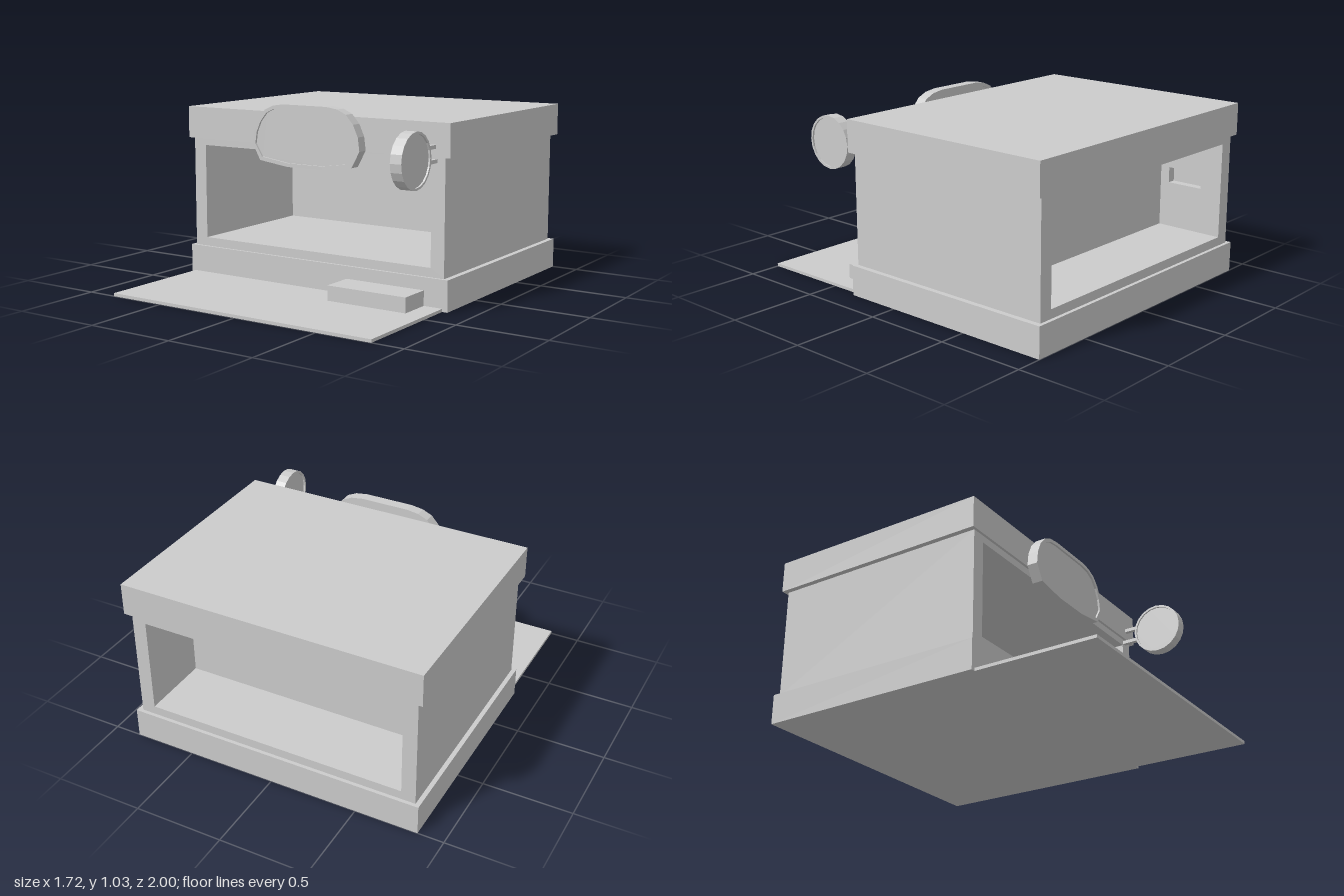
import * as THREE from 'three';

const material = new THREE.MeshStandardMaterial({ color: 0xcccccc, flatShading: true });

function add(parent, name, geometry) {
  const mesh = new THREE.Mesh(geometry, material);
  mesh.name = name;
  parent.add(mesh);
  return mesh;
}

// Box given by its limits on each axis
function box(parent, name, [x0, x1], [y0, y1], [z0, z1]) {
  const mesh = add(parent, name, new THREE.BoxGeometry(x1 - x0, y1 - y0, z1 - z0));
  mesh.position.set((x0 + x1) / 2, (y0 + y1) / 2, (z0 + z1) / 2);
  return mesh;
}

const toPoints = (list) => list.map(([x, y]) => new THREE.Vector2(x, y));
const rect = (x0, x1, y0, y1) => [[x0, y0], [x1, y0], [x1, y1], [x0, y1]];

// Extruded outline with an optional hole, from z0 to z1
function plate(outline, hole, z0, z1) {
  const shape = new THREE.Shape(toPoints(outline));
  if (hole) shape.holes.push(new THREE.Path(toPoints(hole)));
  return new THREE.ExtrudeGeometry(shape, { depth: z1 - z0, bevelEnabled: false }).translate(0, 0, z0);
}

// Completes a right-hand half outline (bottom to top) with its mirror image
const mirrored = (half) => [...half, ...half.map(([x, y]) => [-x, y]).reverse()];

function circle(radius, sides, cx, cy) {
  return Array.from({ length: sides }, (_, i) => {
    const a = (i / sides) * Math.PI * 2;
    return [cx + radius * Math.cos(a), cy + radius * Math.sin(a)];
  });
}

export function createModel() {
  const model = new THREE.Group();
  model.name = 'shop';

  // Plinth, forecourt and entrance step
  box(model, 'base', [-0.855, 0.85], [0, 0.17], [-1, 0.315]);
  box(model, 'forecourt', [-0.83, 0.82], [0, 0.017], [0.3, 1]);
  box(model, 'step', [0.23, 0.71], [0.005, 0.1], [0.3, 0.5]);

  // Walls, open at the front and the back
  add(model, 'walls', plate(
    rect(-0.83, 0.82, 0.17, 0.8), rect(-0.8, 0.74, 0.22, 0.76), -0.98, 0.3));

  // Inner lining of one side wall, with a small niche
  const lining = plate(rect(-0.98, 0.3, 0.22, 0.76), rect(-0.85, -0.635, 0.48, 0.57), 0, 0.05);
  add(model, 'wallLining', lining.rotateY(-Math.PI / 2)).position.x = -0.75;

  // Wall between the front and back rooms
  box(model, 'partition', [-0.76, 0.75], [0.21, 0.77], [-0.58, -0.55]);

  // Flat roof
  box(model, 'roof', [-0.86, 0.855], [0.8, 0.98], [-1, 0.315]);

  // Front sign: raised rim around a recessed panel
  const frontSign = new THREE.Group();
  frontSign.name = 'frontSign';
  model.add(frontSign);
  const outer = mirrored([[0.115, 0.69], [0.3, 0.715], [0.35, 0.805], [0.34, 0.88],
    [0.31, 0.945], [0.265, 0.995], [0.21, 1.02], [0.14, 1.03]]);
  const inner = mirrored([[0.11, 0.71], [0.288, 0.735], [0.332, 0.805], [0.322, 0.87],
    [0.295, 0.93], [0.255, 0.978], [0.205, 1.002], [0.14, 1.01]]);
  add(frontSign, 'frontSignRim', plate(outer, inner, 0.315, 0.377));
  add(frontSign, 'frontSignPanel', plate(inner, null, 0.327, 0.365));

  // Round sign standing out from the front, facing both sides
  const roundSign = new THREE.Group();
  roundSign.name = 'roundSign';
  model.add(roundSign);
  const rimOuter = circle(0.148, 20, 0.54, 0.807);
  const rimInner = circle(0.136, 20, 0.54, 0.807);
  const rim = plate(rimOuter, rimInner, 0, 0.065).rotateY(-Math.PI / 2);
  add(roundSign, 'roundSignRim', rim).position.x = 0.79;
  const face = plate(rimInner, null, 0.01, 0.055).rotateY(-Math.PI / 2);
  add(roundSign, 'roundSignFace', face).position.x = 0.79;
  for (const y of [0.78, 0.855]) {
    box(roundSign, 'signBracket', [0.747, 0.773], [y - 0.01, y + 0.01], [0.295, 0.41]);
  }

  return model;
}
